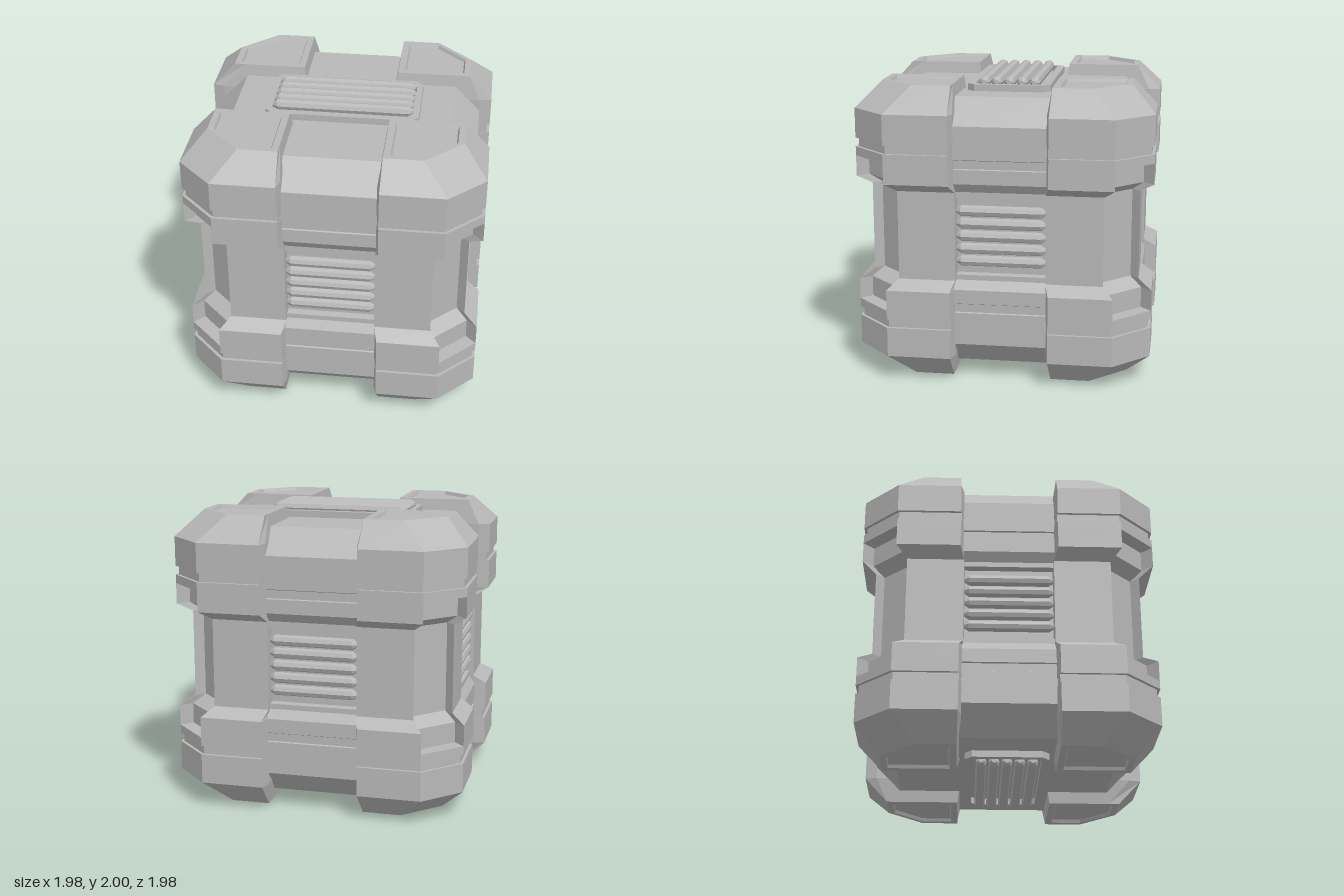
import * as THREE from 'three';

const gray = new THREE.MeshStandardMaterial({ color: 0xb8b8b8 });
gray.name = 'gray metal';

function addMesh(parent, name, geometry) {
  const flat = geometry.index ? geometry.toNonIndexed() : geometry;
  flat.computeVertexNormals();
  const mesh = new THREE.Mesh(flat, gray);
  mesh.name = name;
  parent.add(mesh);
  return mesh;
}

// Plan outline of a corner post: i = inner edge, g = inner edge at depth,
// e = outer extent, c = start of the corner cut, d = recess of the corner cut
function postOutline([, i, g, e, c, d]) {
  const half = [[g, e - 0.08], [i, e], [c, e], [c - d, e - d]];
  return [...half, ...half.map(([x, z]) => [z, x]).reverse(), [g, g]];
}

// Joins the outlines from bottom to top and closes both ends
function loft(rings) {
  const pos = [], idx = [];
  const n = 9;
  rings.forEach((r) => postOutline(r).forEach(([x, z]) => pos.push(x, r[0], z)));
  for (let k = 0; k < rings.length - 1; k++) {
    for (let j = 0; j < n; j++) {
      const a = k * n + j, b = k * n + (j + 1) % n;
      idx.push(a, b, b + n, a, b + n, a + n);
    }
  }
  const top = (rings.length - 1) * n;
  for (let j = 0; j < n - 2; j++) {
    idx.push(top + n - 1, top + j, top + j + 1);
    idx.push(n - 1, j + 1, j);
  }
  const geo = new THREE.BufferGeometry();
  geo.setAttribute('position', new THREE.Float32BufferAttribute(pos, 3));
  geo.setIndex(idx);
  return geo;
}

// Corner post, from the sunken end pad down to the slim middle column
const postRings = [
  [0.968, 0.385, 0.385, 0.78, 0.585, 0],
  [0.99, 0.375, 0.375, 0.79, 0.59, 0],
  [0.99, 0.33, 0.33, 0.83, 0.59, 0],
  [0.82, 0.325, 0.305, 0.99, 0.75, 0],
  [0.62, 0.325, 0.305, 0.99, 0.75, 0],
  [0.62, 0.32, 0.305, 0.97, 0.74, 0],
  [0.56, 0.32, 0.305, 0.97, 0.74, 0],
  [0.56, 0.325, 0.305, 0.99, 0.75, 0],
  [0.5, 0.325, 0.305, 0.99, 0.75, 0],
  [0.5, 0.325, 0.305, 0.99, 0.75, 0.07],
  [0.36, 0.325, 0.305, 0.99, 0.75, 0.07],
  [0.3, 0.3, 0.295, 0.9, 0.68, 0.055],
];

// Side profile of the core band, upper right quarter (depth, height)
const bandQuarter = [
  [0.74, 0.91], [0.91, 0.74], [0.91, 0.52], [0.9, 0.515], [0.9, 0.46], [0.91, 0.455],
  [0.91, 0.36], [0.87, 0.3], [0.87, 0.265], [0.82, 0.26],
];

function bandGeometry(width) {
  const right = [...bandQuarter, ...bandQuarter.map(([z, y]) => [z, -y]).reverse()];
  const all = [...right, ...right.map(([z, y]) => [-z, y]).reverse()];
  const shape = new THREE.Shape(all.map(([z, y]) => new THREE.Vector2(z, y)));
  const geo = new THREE.ExtrudeGeometry(shape, { depth: width, bevelEnabled: false });
  return geo.translate(0, 0, -width / 2);
}

// Rectangle with cut corners
function cutRect(PathType, w, h, k) {
  const pts = [[w - k, -h], [w, k - h], [w, h - k], [w - k, h], [k - w, h], [-w, h - k], [-w, k - h], [k - w, -h]];
  return new PathType(pts.map(([x, y]) => new THREE.Vector2(x, y)));
}

// Five eight-sided bars lying along x, with tapered ends, facing +z
function addBars(parent, halfLength, depth) {
  const r = 0.037;
  const profile = [[0, -halfLength], [0.016, -halfLength], [r, 0.03 - halfLength],
    [r, halfLength - 0.03], [0.016, halfLength], [0, halfLength]];
  for (let k = -2; k <= 2; k++) {
    const geo = new THREE.LatheGeometry(profile.map(([x, y]) => new THREE.Vector2(x, y)), 8);
    geo.rotateZ(Math.PI / 2);
    addMesh(parent, 'ventBar', geo).position.set(0, k * 0.085, depth);
  }
}

export function createModel() {
  const model = new THREE.Group();
  model.name = 'crate';
  const body = new THREE.Group();
  body.name = 'body';
  body.position.y = 1;
  model.add(body);

  // Four corner posts
  const mirrored = postRings.map(([y, ...rest]) => [-y, ...rest]);
  const rings = [...mirrored, ...postRings.slice().reverse()];
  for (let q = 0; q < 4; q++) {
    addMesh(body, 'cornerPost', loft(rings)).rotation.y = q * Math.PI / 2;
  }

  // Two crossing core bands
  addMesh(body, 'sideBand', bandGeometry(0.63));
  addMesh(body, 'frontBand', bandGeometry(0.63)).rotation.y = Math.PI / 2;

  // Vents in the four sides
  for (let q = 0; q < 4; q++) {
    const vent = new THREE.Group();
    vent.name = 'sideVent';
    vent.rotation.y = q * Math.PI / 2;
    addBars(vent, 0.295, 0.85);
    body.add(vent);
  }

  // Framed vents on the top and the bottom
  for (const s of [-1, 1]) {
    const vent = new THREE.Group();
    vent.name = s < 0 ? 'topVent' : 'bottomVent';
    vent.rotation.x = s * Math.PI / 2;
    const shape = cutRect(THREE.Shape, 0.515, 0.28, 0.05);
    shape.holes.push(cutRect(THREE.Path, 0.475, 0.23, 0.035));
    const frame = new THREE.ExtrudeGeometry(shape, { depth: 0.05, bevelEnabled: false });
    addMesh(vent, 'ventFrame', frame).position.z = 0.905;
    addBars(vent, 0.47, 0.963);
    body.add(vent);
  }
  return model;
}
